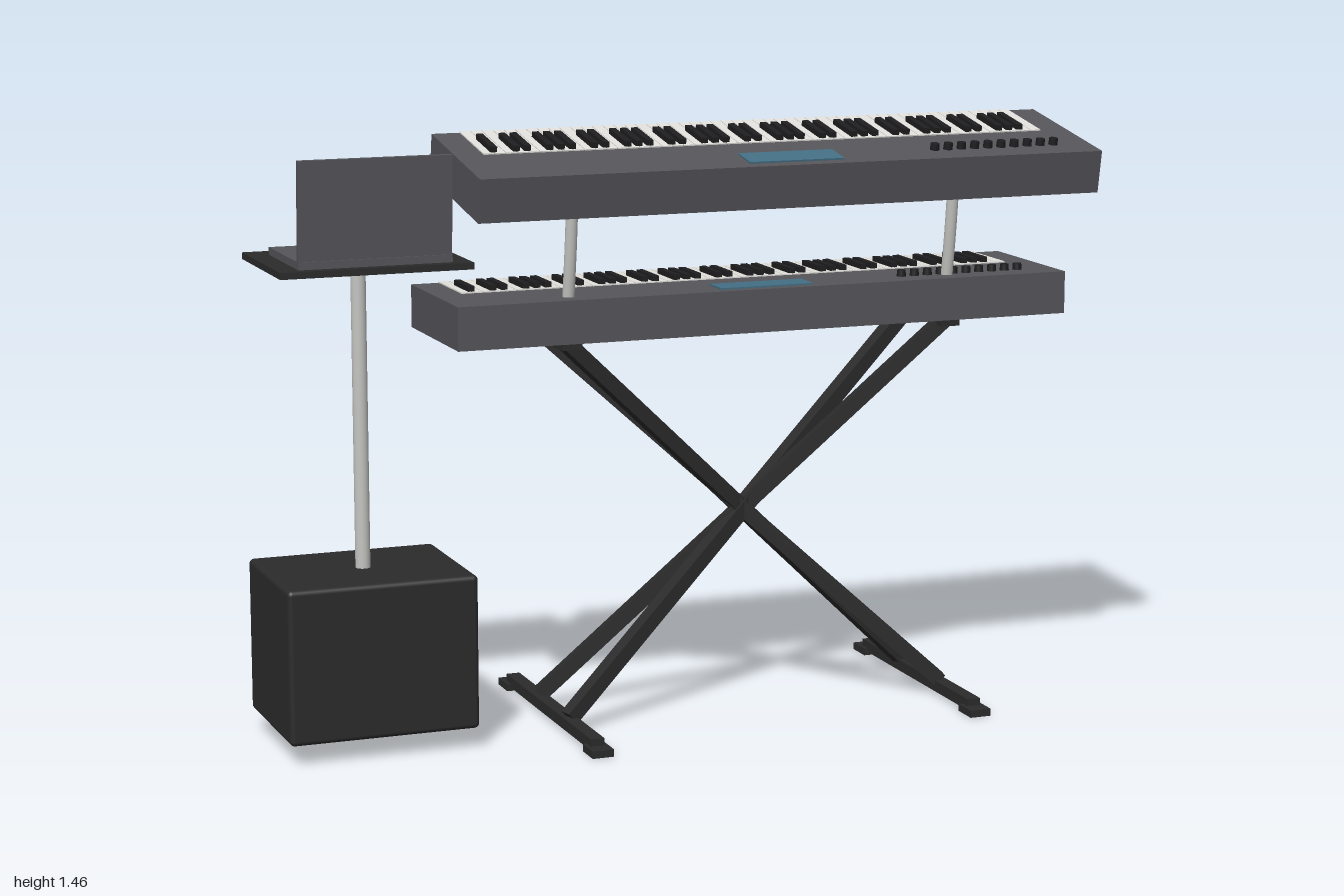
import * as THREE from 'three';
import { RoundedBoxGeometry } from 'three/addons/geometries/RoundedBoxGeometry.js';

const mat = (name, color) => {
  const m = new THREE.MeshStandardMaterial({ color });
  m.name = name;
  return m;
};

export function createModel() {
  const model = new THREE.Group();
  const M = {
    casing: mat('grey casing', 0x55555a),
    black: mat('black metal', 0x2b2b2b),
    white: mat('white keys', 0xe2e0db),
    blackKey: mat('black keys', 0x1e1e20),
    screen: mat('blue screen', 0x446f84),
    pole: mat('light metal', 0xc4c4c1),
  };

  const add = (parent, name, geo, material, x = 0, y = 0, z = 0) => {
    const mesh = new THREE.Mesh(geo, material);
    mesh.name = name;
    mesh.position.set(x, y, z);
    parent.add(mesh);
    return mesh;
  };
  // box given by its minimum and maximum on each axis
  const box = (parent, name, material, x0, x1, y0, y1, z0, z1) =>
    add(parent, name, new THREE.BoxGeometry(x1 - x0, y1 - y0, z1 - z0), material,
      (x0 + x1) / 2, (y0 + y1) / 2, (z0 + z1) / 2);

  // Keyboard, centred on its case; the keys lie along the -z edge
  const makeKeyboard = (name) => {
    const g = new THREE.Group();
    g.name = name;
    const top = 0.0525;
    box(g, 'case', M.casing, -0.79, 0.79, -top, top, -0.1875, 0.1875);

    const count = 52, start = -0.722, pitch = 1.44 / count;
    const whiteGeo = new THREE.BoxGeometry(pitch - 0.002, 0.014, 0.188);
    const blackGeo = new THREE.BoxGeometry(0.016, 0.016, 0.112);
    const hasSharp = [true, false, true, true, false, true, true]; // A to G
    for (let i = 0; i < count; i++) {
      add(g, 'whiteKey', whiteGeo, M.white, start + (i + 0.5) * pitch, top - 0.004, -0.0945);
      if (hasSharp[i % 7] && i < count - 1)
        add(g, 'blackKey', blackGeo, M.blackKey, start + (i + 1) * pitch, top + 0.008, -0.064);
    }

    box(g, 'display', M.screen, -0.12, 0.12, top, top + 0.004, 0.087, 0.162);
    const knobGeo = new THREE.CylinderGeometry(0.0105, 0.0115, 0.016, 16);
    for (let i = 0; i < 10; i++)
      add(g, 'knob', knobGeo, M.blackKey, 0.376 + i * 0.0352, top + 0.008, 0.116);
    model.add(g);
    return g;
  };
  makeKeyboard('lowerKeyboard').position.set(0.21, 1.018, -0.0075);
  const upper = makeKeyboard('upperKeyboard');
  upper.position.set(0.21, 1.371, 0.165);
  upper.rotation.x = 0.175;

  // Bent posts holding the upper keyboard
  for (const x of [-0.287, 0.703]) {
    const path = new THREE.CatmullRomCurve3([
      new THREE.Vector3(x, 1.06, 0.12),
      new THREE.Vector3(x, 1.17, 0.137),
      new THREE.Vector3(x, 1.33, 0.156),
    ]);
    add(model, 'upperPost', new THREE.TubeGeometry(path, 12, 0.0145, 16), M.pole);
  }

  // Crossed stand: four beams running corner to corner
  const stand = new THREE.Group();
  stand.name = 'crossedStand';
  model.add(stand);
  const cx = 0.208, halfX = 0.495;
  for (const sx of [-1, 1]) {
    for (const sz of [-1, 1]) {
      const a = new THREE.Vector3(cx + sx * halfX, 0.955, sz * 0.108);
      const b = new THREE.Vector3(cx - sx * halfX, 0.035, -sz * 0.113);
      const mid = a.clone().add(b).multiplyScalar(0.5);
      const beam = add(stand, 'beam',
        new THREE.BoxGeometry(0.036, 0.036, a.distanceTo(b)), M.black, mid.x, mid.y, mid.z);
      beam.lookAt(a);
    }
    // Floor bar with end pads, and the support under the lower keyboard
    const x = cx + sx * halfX;
    box(stand, 'floorBar', M.black, x - 0.017, x + 0.017, 0.008, 0.036, -0.32, 0.315);
    for (const sz of [-1, 1])
      add(stand, 'footPad', new THREE.BoxGeometry(0.054, 0.018, 0.07), M.black, x, 0.009, sz * 0.32);
    box(stand, 'topSupport', M.black, x - 0.025, x + 0.025, 0.945, 0.966, -0.155, 0.148);
  }

  // Cabinet with two drawer fronts and small displays on its -z face
  const cabinet = new THREE.Group();
  cabinet.name = 'equipmentCabinet';
  model.add(cabinet);
  add(cabinet, 'cabinetBody', new RoundedBoxGeometry(0.465, 0.375, 0.37, 3, 0.012),
    M.black, -0.7675, 0.2375, -0.0075);
  for (const y of [0.31, 0.16]) {
    box(cabinet, 'drawerFront', M.black, -0.985, -0.55, y - 0.068, y + 0.068, -0.197, -0.19);
    box(cabinet, 'drawerDisplay', M.screen, -0.638, -0.565, y - 0.021, y + 0.021, -0.2, -0.196);
  }

  // Pole and tray
  add(model, 'trayPole', new THREE.CylinderGeometry(0.018, 0.018, 0.745, 24), M.pole, -0.767, 0.79, -0.004);
  box(model, 'tray', M.black, -1, -0.535, 1.156, 1.172, -0.185, 0.17);

  // Laptop opening towards -z
  const laptop = new THREE.Group();
  laptop.name = 'laptop';
  model.add(laptop);
  box(laptop, 'laptopBase', M.casing, -0.95, -0.58, 1.172, 1.19, -0.125, 0.145);
  const lid = new THREE.Group();
  lid.name = 'laptopLid';
  lid.position.set(-0.765, 1.185, 0.134);
  lid.rotation.x = 0.06;
  laptop.add(lid);
  box(lid, 'lidShell', M.casing, -0.185, 0.185, 0, 0.24, -0.006, 0.006);
  box(lid, 'lidScreen', M.screen, -0.172, 0.172, 0.016, 0.228, -0.009, -0.005);

  return model;
}
